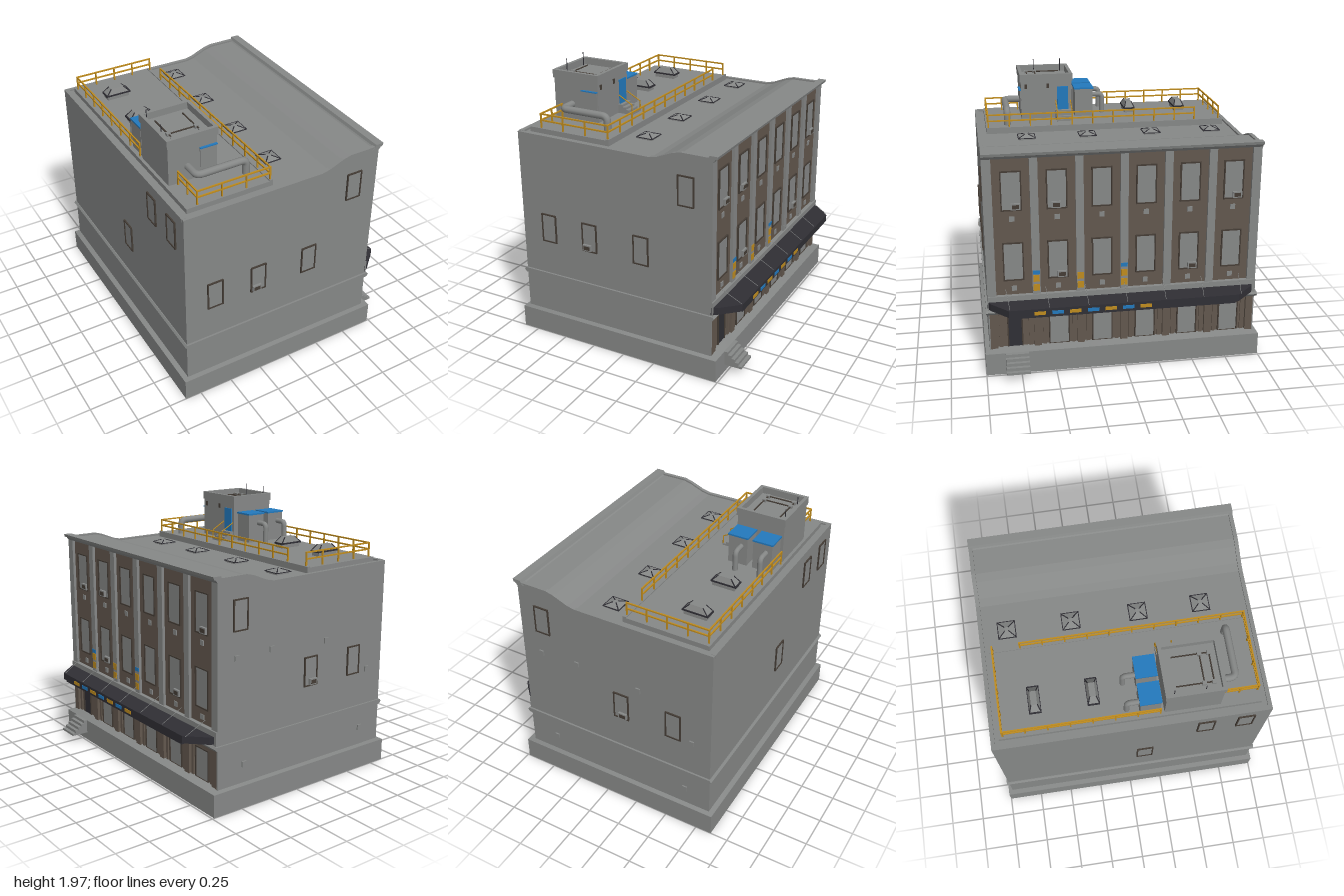
import * as THREE from 'three';

const mat = (name, color) => Object.assign(new THREE.MeshStandardMaterial({ color }), { name });

export function createModel() {
  const root = new THREE.Group();
  root.name = 'building';
  const grey = mat('concrete grey', 0x868887);
  const brown = mat('facade brown', 0x63584e);
  const frameDark = mat('frame brown', 0x453d36);
  const dark = mat('canopy charcoal', 0x302f35);
  const yellow = mat('railing yellow', 0xbf8c1f);
  const blue = mat('panel blue', 0x2379bd);

  const add = (name, geo, m, parent = root) => {
    const mesh = new THREE.Mesh(geo, m);
    mesh.name = name;
    parent.add(mesh);
    return mesh;
  };
  // box given by its limits on each axis
  const box = (name, m, x0, x1, y0, y1, z0, z1, parent = root) => {
    const mesh = add(name, new THREE.BoxGeometry(x1 - x0, y1 - y0, z1 - z0), m, parent);
    mesh.position.set((x0 + x1) / 2, (y0 + y1) / 2, (z0 + z1) / 2);
    return mesh;
  };
  const toShape = (pts) => new THREE.Shape(pts.map(([a, b]) => new THREE.Vector2(a, b)));
  // x-y profile extruded from z0 to z1
  const prism = (name, m, pts, z0, z1) => {
    const mesh = add(name, new THREE.ExtrudeGeometry(toShape(pts), { depth: z1 - z0, bevelEnabled: false }), m);
    mesh.position.z = z0;
    return mesh;
  };
  // x-z plan extruded from y0 to y1
  const slab = (name, m, shape, y0, y1) => {
    const geo = new THREE.ExtrudeGeometry(shape, { depth: y1 - y0, bevelEnabled: false }).rotateX(-Math.PI / 2);
    const mesh = add(name, geo, m);
    mesh.position.y = y0;
    return mesh;
  };
  const rect = (x0, x1, y0, y1) => [[x0, y0], [x1, y0], [x1, y1], [x0, y1]];
  const rod = (name, m, a, b, r, parent = root) => {
    const A = new THREE.Vector3(...a), B = new THREE.Vector3(...b), d = B.clone().sub(A);
    const mesh = add(name, new THREE.CylinderGeometry(r, r, d.length(), 6), m, parent);
    mesh.position.copy(A).add(B).multiplyScalar(0.5);
    mesh.quaternion.setFromUnitVectors(new THREE.Vector3(0, 1, 0), d.normalize());
    return mesh;
  };

  // plinth: hollow ring, floor plate and sloped top
  const ring = toShape(rect(-0.87, 0.735, -1, 1));
  ring.holes.push(new THREE.Path(rect(-0.845, 0.71, -0.975, 0.975).map(([a, b]) => new THREE.Vector2(a, b))));
  slab('plinth', grey, ring, 0, 0.165);
  box('floorPlate', grey, -0.846, 0.711, 0.02, 0.165, -0.976, 0.976);
  const slope = add('plinthSlope', new THREE.CylinderGeometry(0.66, 0.7071, 0.02, 4, 1).rotateY(Math.PI / 4), grey);
  slope.scale.set(1.6, 1, 1.995);
  slope.position.set(-0.0675, 0.175, 0);

  // main body with the wavy roof line; the end walls stand slightly proud as parapets
  const profile = (x1, drop) => [[-0.835, 0.15], [x1, 0.15], [x1, 1.62 - drop], [0.45, 1.62 - drop],
    [0.39, 1.605 - drop], [0.28, 1.56 - drop], [0.22, 1.547 - drop], [-0.835, 1.552 - drop]];
  prism('body', grey, profile(0.655, 0.012), -0.95, 0.95);
  for (const s of [-1, 1]) prism('endWall', grey, profile(0.685, 0), s > 0 ? 0.94 : -0.968, s > 0 ? 0.968 : -0.94);
  box('rearCoping', grey, -0.838, -0.805, 1.53, 1.554, -0.95, 0.95);
  prism('cornice', grey, [[0.63, 1.6], [0.685, 1.59], [0.7, 1.61], [0.715, 1.615], [0.72, 1.635], [0.66, 1.635], [0.65, 1.615]], -0.97, 0.97);

  // string course around the body
  prism('stringCourse', grey, [[-0.835, 0.455], [0.695, 0.455], [0.71, 0.475], [0.7, 0.49], [-0.84, 0.49], [-0.852, 0.475]], -0.982, 0.982);
  box('canopyBand', grey, 0.65, 0.695, 0.49, 0.59, -0.968, 0.968);

  // brown facade
  box('upperFacade', brown, 0.64, 0.664, 0.58, 1.6, -0.94, 0.94);
  box('lowerFacade', brown, 0.64, 0.664, 0.17, 0.46, -0.94, 0.94);

  // window facing +z in its own group, then turned to its wall
  const windowUnit = (x, y, z, turn, w, h, ac = 0, pane = grey) => {
    const g = new THREE.Group();
    g.name = 'window';
    g.position.set(x, y, z);
    g.rotation.y = turn;
    const t = 0.009, s = toShape(rect(-w / 2, w / 2, -h / 2, h / 2));
    s.holes.push(toShape(rect(-w / 2 + t, w / 2 - t, -h / 2 + t, h / 2 - t)));
    add('windowFrame', new THREE.ExtrudeGeometry(s, { depth: 0.011, bevelEnabled: false }), frameDark, g);
    box('windowPane', pane, -w / 2 + t, w / 2 - t, -h / 2 + t, h / 2 - t, -0.002, 0.005, g);
    if (ac) {
      const c = ac * (w / 2 - 0.045);
      box('airUnit', grey, c - 0.033, c + 0.033, -h / 2 + 0.01, -h / 2 + 0.055, 0, 0.022, g);
      box('airUnitGrille', frameDark, c - 0.024, c + 0.024, -h / 2 + 0.018, -h / 2 + 0.046, 0.02, 0.024, g);
    }
    root.add(g);
  };
  const Q = Math.PI / 2, pitch = 0.311;

  // street facade: pilasters, bays, ground-floor openings
  for (let i = 0; i <= 6; i++) {
    const z = 0.933 - i * pitch;
    box('pilaster', grey, 0.65, 0.685, 0.58, 1.61, z - 0.028, z + 0.028);
    box('groundPier', brown, 0.65, 0.687, 0.17, 0.46, z - 0.026, z + 0.026);
    rod('canopyCable', grey, [0.685, 0.64, z * 0.9], [0.84, 0.55, z * 0.88], 0.0018);
  }
  for (let i = 0; i < 6; i++) {
    const z = 0.933 - (i + 0.5) * pitch;
    windowUnit(0.664, 1.357, z, Q, 0.145, 0.285, [1, 0, 0, 0, 0, 1][i] || (i === 1 ? -0.2 : 0));
    windowUnit(0.664, 0.84, z, Q, 0.145, 0.285, [0, 1, 0, 0, 1, 0][i]);
    for (const y of [1.155, 0.637]) box('facadeVent', grey, 0.66, 0.671, y - 0.018, y + 0.018, z - 0.018, z + 0.018);
    if (i === 0) windowUnit(0.664, 0.31, z + 0.005, Q, 0.11, 0.27, 0, dark);
    else windowUnit(0.664, 0.296, z, Q, 0.15, 0.235);
    for (const s of [-1, 1]) box('groundStrip', brown, 0.66, 0.674, 0.17, 0.46, z + s * 0.105 - 0.012, z + s * 0.105 + 0.012);
  }

  // coloured banners on three pilasters
  for (const [z, b] of [[0.622, 0.755], [0.311, 0], [0, 0.77]]) {
    box('bannerYellowLow', yellow, 0.684, 0.688, 0.615, 0.665, z - 0.022, z + 0.022);
    box('bannerYellowHigh', yellow, 0.684, 0.688, 0.685, 0.735, z - 0.022, z + 0.022);
    if (b) box('bannerBlue', blue, 0.684, 0.689, b - 0.014, b + 0.014, z - 0.024, z + 0.024);
  }

  // street canopy and its coloured sign plates
  slab('canopy', dark, toShape([[0.68, -0.97], [0.72, -0.95], [0.85, -0.83], [0.85, 0.8], [0.72, 0.93], [0.68, 0.95]]), 0.5, 0.552);
  box('canopyLamp', dark, 0.745, 0.84, 0.483, 0.502, -0.78, 0.81);
  for (let i = 0; i < 7; i++) {
    const z = 0.617 - i * 0.124;
    box('signPlate', i % 2 ? blue : yellow, 0.848, 0.854, 0.508, 0.533, z - 0.04, z + 0.04);
  }

  // entrance steps
  for (let i = 0; i < 5; i++) box('entranceStep', grey, 0.7, 0.761 + i * 0.026, 0.06, 0.165 - i * 0.022, 0.695, 0.86);

  // windows on the other walls
  for (const [x, y, ac] of [[-0.61, 0.853, 0], [-0.27, 0.853, -1], [0.145, 0.853, 0], [0.492, 1.36, 0]])
    windowUnit(x, y, 0.968, 0, 0.122, 0.217, ac);
  for (const [x, y, ac] of [[-0.545, 0.853, 0], [-0.13, 0.853, 1], [0.5, 1.36, 0]])
    windowUnit(x, y, -0.968, Math.PI, 0.122, 0.217, ac);
  for (const [z, y] of [[0.1, 0.853], [0.52, 1.36], [0.8, 1.36]]) windowUnit(-0.835, y, z, -Q, 0.122, 0.217);
  for (const [x, y] of [[0.53, 1.07], [0.23, 1.08], [-0.27, 1.05], [-0.69, 0.76], [0.46, 0.31], [-0.64, 0.31]])
    box('rearVent', grey, x - 0.018, x + 0.018, y - 0.02, y + 0.02, -0.978, -0.96);

  // roof deck
  box('roofDeck', grey, -0.775, -0.13, 1.53, 1.575, -0.91, 0.9);
  box('deckEdge', grey, -0.155, -0.13, 1.57, 1.582, -0.91, 0.9);

  // skylights: curb, dark collar, glazed hip and dark ridges
  const skylight = (x, z, w, d, y, h, top) => {
    box('skylightCurb', grey, x - w * 0.44, x + w * 0.44, y - 0.02, y + h * 0.4, z - d * 0.44, z + d * 0.44);
    box('skylightCollar', dark, x - w / 2, x + w / 2, y + h * 0.35, y + h * 0.5, z - d / 2, z + d / 2);
    const hip = add('skylightHip', new THREE.CylinderGeometry(top * 0.7071, 0.64, 1, 4, 1).rotateY(Math.PI / 4).toNonIndexed(), grey);
    hip.geometry.computeVertexNormals();
    hip.scale.set(w, h * 0.5, d);
    hip.position.set(x, y + h * 0.75, z);
    for (const sx of [-1, 1]) for (const sz of [-1, 1])
      rod('skylightRidge', dark, [x + sx * w * 0.45, y + h * 0.5, z + sz * d * 0.45], [x + sx * w * top / 2, y + h, z + sz * d * top / 2], 0.004);
  };
  for (const z of [-0.77, -0.315, 0.165, 0.615]) skylight(0.015, z, 0.13, 0.13, 1.535, 0.032, 0.2);
  for (const z of [-0.64, -0.24]) skylight(-0.543, z, 0.195, 0.085, 1.575, 0.08, 0.5);

  // railings
  const railing = (x0, z0, x1, z1) => {
    const g = new THREE.Group();
    g.name = 'railing';
    root.add(g);
    const n = Math.max(1, Math.round(Math.hypot(x1 - x0, z1 - z0) / 0.16)), t = 0.005;
    for (const y of [1.676, 1.63]) {
      box('rail', yellow, Math.min(x0, x1) - t, Math.max(x0, x1) + t, y - t, y + t, Math.min(z0, z1) - t, Math.max(z0, z1) + t, g);
    }
    for (let i = 0; i <= n; i++) {
      const x = x0 + (x1 - x0) * i / n, z = z0 + (z1 - z0) * i / n;
      box('railPost', yellow, x - t, x + t, 1.57, 1.678, z - t, z + t, g);
    }
  };
  railing(-0.755, -0.88, -0.145, -0.88);
  railing(-0.755, -0.88, -0.755, 0.2);
  railing(-0.145, -0.69, -0.145, 0.885);
  railing(-0.69, 0.885, -0.145, 0.885);
  railing(-0.69, 0.63, -0.69, 0.885);

  // rooftop house with open parapet
  box('roofHouse', grey, -0.753, -0.39, 1.57, 1.87, 0.228, 0.617);
  const rim = toShape(rect(-0.76, -0.383, -0.625, -0.22));
  rim.holes.push(toShape(rect(-0.735, -0.408, -0.6, -0.245)));
  slab('roofHouseParapet', grey, rim, 1.862, 1.92);
  for (const z of [0.28, 0.49]) rod('antenna', dark, [-0.73, 1.87, z], [-0.73, 1.97, z], 0.003);
  for (const x of [-0.68, -0.475]) rod('roofPipe', frameDark, [x, 1.882, 0.3], [x, 1.882, 0.56], 0.005);
  for (const z of [0.49, 0.555]) {
    rod('roofPipe', frameDark, [-0.68, 1.882, z], [-0.475, 1.882, z], 0.005);
    for (const x of [-0.68, -0.475]) box('pipeFoot', grey, x - 0.014, x + 0.014, 1.868, 1.892, z - 0.014, z + 0.014);
  }
  for (const z of [0.41, 0.58]) box('houseVent', frameDark, -0.392, -0.384, 1.81, 1.845, z - 0.009, z + 0.009);
  box('houseDoor', blue, -0.392, -0.382, 1.64, 1.82, 0.255, 0.34);
  box('houseHatch', grey, -0.52, -0.395, 1.65, 1.795, 0.61, 0.624);
  box('hatchAwning', blue, -0.522, -0.393, 1.793, 1.801, 0.61, 0.634);
  for (let i = 0; i < 4; i++) box('houseStep', grey, -0.39, -0.355 + i * 0.028, 1.57, 1.64 - i * 0.017, 0.235, 0.355);
  for (const z of [0.238, 0.352]) {
    rod('stepRail', yellow, [-0.385, 1.71, z], [-0.275, 1.65, z], 0.004);
    rod('stepRailPost', yellow, [-0.275, 1.575, z], [-0.275, 1.65, z], 0.004);
  }

  // bent ducts
  const duct = (name, pts, r) => {
    const path = new THREE.CurvePath(), v = pts.map((p) => new THREE.Vector3(...p));
    let last = v[0];
    for (let i = 1; i < v.length - 1; i++) {
      const a = v[i].clone().add(v[i - 1].clone().sub(v[i]).setLength(r * 1.6));
      const b = v[i].clone().add(v[i + 1].clone().sub(v[i]).setLength(r * 1.6));
      path.add(new THREE.LineCurve3(last, a));
      path.add(new THREE.QuadraticBezierCurve3(a, v[i], b));
      last = b;
    }
    path.add(new THREE.LineCurve3(last, v[v.length - 1]));
    add(name, new THREE.TubeGeometry(path, 48, r, 10), grey);
  };
  duct('houseDuct', [[-0.61, 1.683, 0.6], [-0.61, 1.683, 0.737], [-0.24, 1.683, 0.737], [-0.24, 1.57, 0.737]], 0.026);

  // twin cooling units with blue lids
  for (const x of [-0.67, -0.48]) {
    box('coolingUnit', grey, x - 0.073, x + 0.073, 1.57, 1.79, 0.06, 0.2);
    box('coolingLid', blue, x - 0.078, x + 0.078, 1.788, 1.8, 0.055, 0.205);
    duct('coolingDuct', [[x - 0.025, 1.722, 0.07], [x - 0.025, 1.722, -0.025], [x - 0.025, 1.57, -0.025]], 0.02);
  }
  return root;
}
